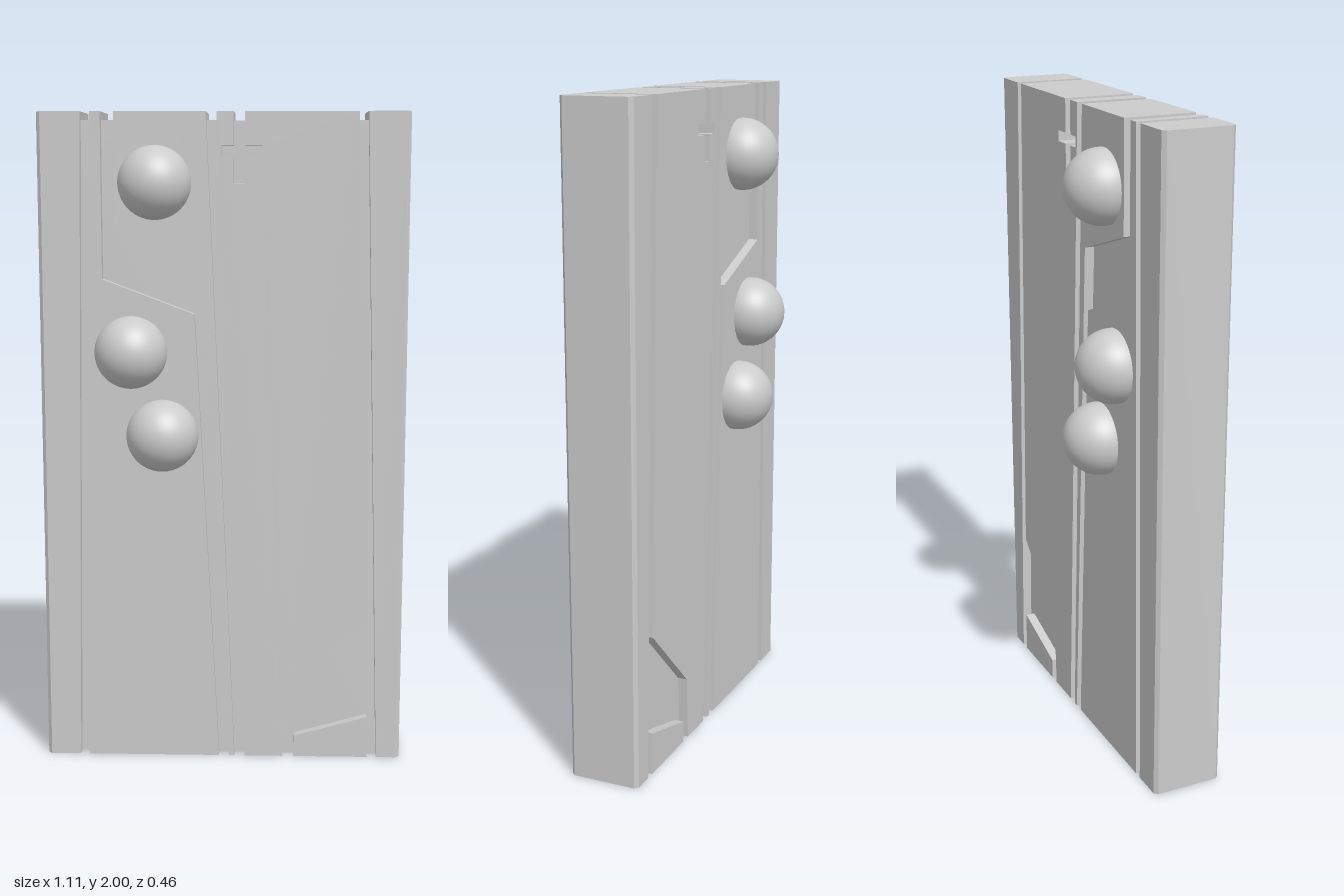
import * as THREE from 'three';
import { ConvexGeometry } from 'three/addons/geometries/ConvexGeometry.js';

const HALF = 0.11;       // half thickness of the planks
const CORE = 0.08;       // half thickness of the recessed core
const CORE_TOP = 1.975;

const slabMaterial = new THREE.MeshStandardMaterial({ color: 0xcccccc, flatShading: true });
const ballMaterial = new THREE.MeshStandardMaterial({ color: 0xcccccc });

// Extrudes a front outline between two depths
function plate(name, points, z0, z1) {
  const shape = new THREE.Shape(points.map(([x, y]) => new THREE.Vector2(x, y)));
  const geometry = new THREE.ExtrudeGeometry(shape, { depth: z1 - z0, bevelEnabled: false });
  geometry.translate(0, 0, z0);
  const mesh = new THREE.Mesh(geometry, slabMaterial);
  mesh.name = name;
  return mesh;
}

// Outer plank with a slanted inner edge and chamfered outer corners
function edgePlank(name, side, innerBottom, innerTop) {
  const points = [];
  for (const [y, inner] of [[0, innerBottom], [2, innerTop]]) {
    for (const s of [-1, 1]) {
      points.push(
        new THREE.Vector3(side * inner, y, s * HALF),
        new THREE.Vector3(side * 0.545, y, s * HALF),
        new THREE.Vector3(side * 0.556, y, s * (HALF - 0.011)));
    }
  }
  const mesh = new THREE.Mesh(new ConvexGeometry(points), slabMaterial);
  mesh.name = name;
  return mesh;
}

// Cross-shaped notch, open at the top, traced from right to left
const crossNotch = (top) => [
  [0.065, top], [0.065, 1.9], [0.117, 1.9], [0.117, 1.868], [0.065, 1.868], [0.065, 1.79],
  [0.031, 1.79], [0.031, 1.868], [-0.005, 1.868], [-0.005, 1.9], [0.031, 1.9], [0.031, top],
];

export function createModel() {
  const model = new THREE.Group();
  model.name = 'carvedSlab';

  // Core: solid middle, with outer layers cut by the cross
  const coreOutline = [[-0.5, 0], [0.5, 0], [0.5, CORE_TOP]];
  model.add(plate('coreMiddle', [...coreOutline, [-0.5, CORE_TOP]], -0.043, 0.043));
  const cutCore = [...coreOutline, ...crossNotch(CORE_TOP), [-0.5, CORE_TOP]];
  model.add(plate('coreFront', cutCore, 0.043, CORE));
  model.add(plate('coreBack', cutCore, -CORE, -0.043));

  // Outer planks
  model.add(edgePlank('leftEdgePlank', 1, 0.483, 0.43));
  model.add(edgePlank('rightEdgePlank', -1, 0.452, 0.425));

  // Interlocking raised panels
  model.add(plate('lowerPanel', [
    [-0.425, 0], [-0.013, 0], [-0.087, 1.4], [-0.365, 1.505], [-0.365, 2], [-0.397, 2],
  ], -HALF, HALF));
  model.add(plate('upperPanel', [
    [0.018, 0], [0.035, 0], [-0.052, 2], [-0.326, 2], [-0.326, 1.672], [-0.067, 1.585],
  ], -HALF, HALF));
  model.add(plate('crossPanel', [
    [0.068, 0], [0.187, 0], [0.197, 0.2], [0.442, 0.435], [0.402, 2],
    ...crossNotch(2), [-0.02, 2],
  ], -HALF, HALF));
  model.add(plate('footPanel', [
    [0.222, 0], [0.454, 0], [0.451, 0.132], [0.222, 0.067],
  ], -HALF, HALF));

  // Balls on both faces
  const ballGeometry = new THREE.SphereGeometry(0.11, 40, 28);
  for (const side of [1, -1]) {
    for (const [x, y] of [[-0.204, 1.792], [-0.279, 1.285], [-0.185, 1.03]]) {
      const ball = new THREE.Mesh(ballGeometry, ballMaterial);
      ball.position.set(x, y, side * 0.121);
      ball.name = side > 0 ? 'frontBall' : 'backBall';
      model.add(ball);
    }
  }
  return model;
}
